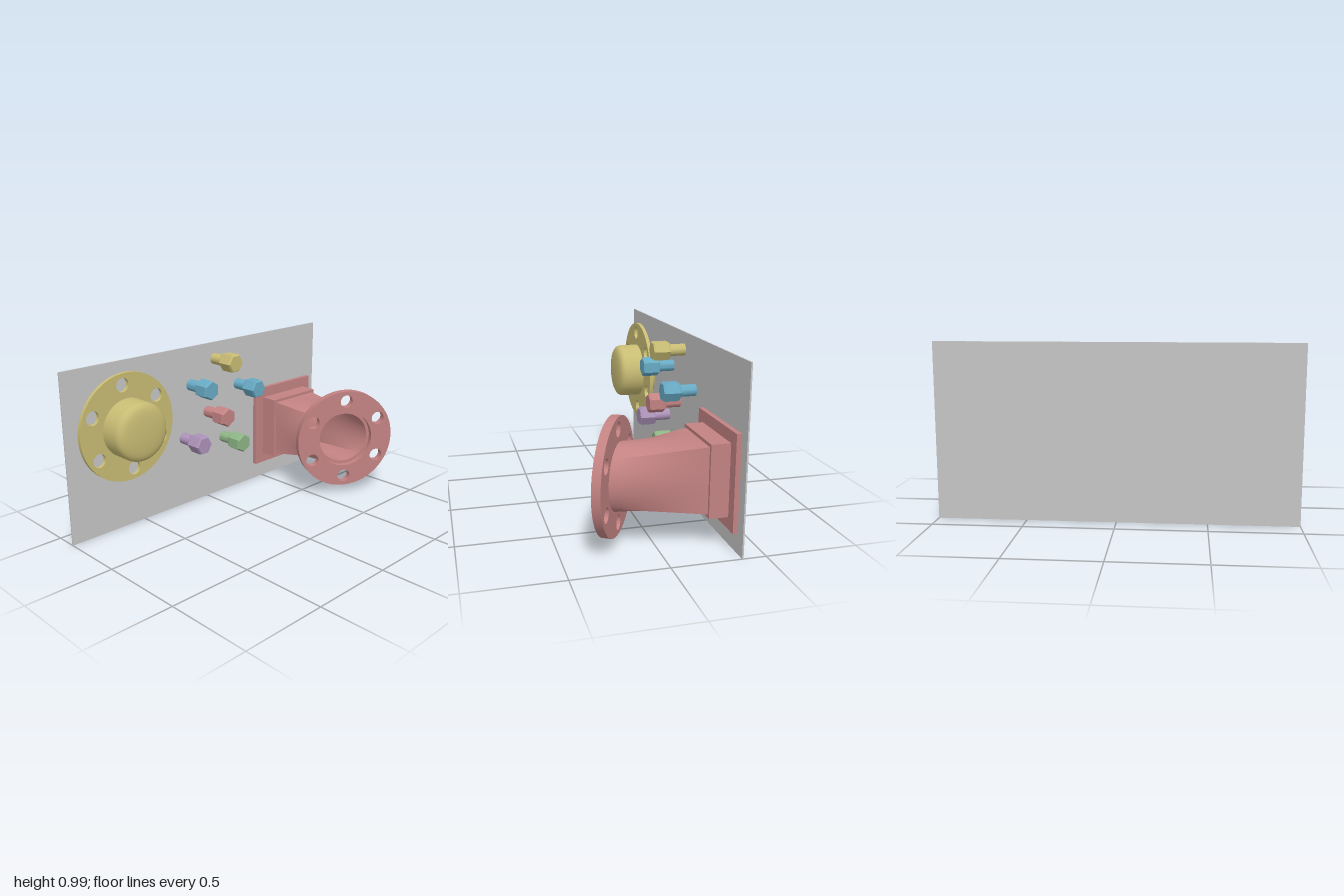
import * as THREE from 'three';
import { toCreasedNormals } from 'three/addons/utils/BufferGeometryUtils.js';

const paint = (name, color) => {
  const m = new THREE.MeshStandardMaterial({ color });
  m.name = name;
  return m;
};

export function createModel() {
  const model = new THREE.Group();
  model.name = 'boltedPanel';
  const grey = paint('grey', 0xc6c6c6);
  const yellow = paint('yellow', 0xc8bc74);
  const red = paint('red', 0xc38282);
  const blue = paint('blue', 0x68aac4);
  const green = paint('green', 0x8cb484);
  const purple = paint('purple', 0xac92b8);
  const PANEL_Z = -0.37;

  const add = (parent, name, geometry, material, x = 0, y = 0, z = 0) => {
    const mesh = new THREE.Mesh(geometry, material);
    mesh.name = name;
    mesh.position.set(x, y, z);
    parent.add(mesh);
    return mesh;
  };

  // Solid of revolution about z from [radius, z] pairs
  const turned = (profile, segments) => toCreasedNormals(
    new THREE.LatheGeometry(profile.map(p => new THREE.Vector2(...p)), segments).rotateX(Math.PI / 2), 0.5);

  // Disc with a ring of six bolt holes and an optional bore
  const flange = (radius, bore, depth, startAngle) => {
    const shape = new THREE.Shape().absarc(0, 0, radius, 0, Math.PI * 2);
    const hole = (x, y, r) => shape.holes.push(new THREE.Path().absarc(x, y, r, 0, Math.PI * 2, true));
    for (let i = 0; i < 6; i++) {
      const a = startAngle + i * Math.PI / 3;
      hole(0.248 * Math.cos(a), 0.248 * Math.sin(a), 0.04);
    }
    if (bore) hole(0, 0, bore);
    return toCreasedNormals(
      new THREE.ExtrudeGeometry(shape, { depth, bevelEnabled: false, curveSegments: 40 }), 0.5);
  };

  // Back panel
  add(model, 'panel', new THREE.BoxGeometry(2, 0.99, 0.008), grey, 0, 0.495, PANEL_Z - 0.004);

  // Domed cap with flange
  const cap = new THREE.Group();
  cap.name = 'domedCap';
  cap.position.set(-0.64, 0.628, 0);
  model.add(cap);
  add(cap, 'capFlange', flange(0.312, 0, 0.022, THREE.MathUtils.degToRad(36)), yellow, 0, 0, -0.313);
  add(cap, 'capBody', turned([
    [0.168, PANEL_Z], [0.168, -0.185], [0.166, -0.172], [0.161, -0.161], [0.152, -0.152],
    [0.138, -0.145], [0.12, -0.14], [0.09, -0.136], [0.05, -0.133], [0, -0.132],
  ], 64), yellow);

  // Hex bolts: [x, y, material, points sideways]
  const head = turned([[0, -0.275], [0.052, -0.275], [0.059, -0.265], [0.059, -0.186], [0.052, -0.175], [0, -0.175]], 6);
  const shaft = turned([[0.034, PANEL_Z], [0.034, -0.274]], 32);
  for (const [x, y, material, sideways] of [
    [0.077, 0.887, yellow, true], [-0.118, 0.757, blue, false], [0.272, 0.692, blue, true],
    [0.012, 0.563, red, false], [-0.183, 0.433, purple, true], [0.142, 0.368, green, false],
  ]) {
    const bolt = new THREE.Group();
    bolt.name = 'bolt';
    bolt.position.set(x, y, 0);
    bolt.rotation.z = sideways ? Math.PI / 6 : 0;
    model.add(bolt);
    add(bolt, 'boltHead', head, material);
    add(bolt, 'boltShaft', shaft, material);
  }

  // Angled nozzle on a square base
  const nozzle = new THREE.Group();
  nozzle.name = 'nozzle';
  nozzle.position.set(0.675, 0.368, 0);
  model.add(nozzle);
  add(nozzle, 'basePlate', new THREE.BoxGeometry(0.52, 0.52, 0.027), red, 0, 0, -0.3565);
  add(nozzle, 'collar', new THREE.BoxGeometry(0.39, 0.39, 0.103), red, 0, 0, -0.2915);
  const tilt = -Math.PI / 6;
  const mouth = new THREE.Vector3(0, 0, 0.177);
  add(nozzle, 'nozzleFlange', flange(0.312, 0.177, 0.047, Math.PI / 2), red, 0, 0, mouth.z).rotation.y = tilt;

  // Hollow square-to-round neck: outer skin, end lip, then inner skin
  const SIDES = 64, STEPS = 8;
  const yAxis = new THREE.Vector3(0, 1, 0);
  const neckPoint = (a, half, radius, t) => {
    const c = Math.cos(a), s = Math.sin(a);
    const k = half / Math.max(Math.abs(c), Math.abs(s));
    const square = new THREE.Vector3(c * k, s * k, -0.241);
    const round = new THREE.Vector3(c * radius, s * radius, 0.012).applyAxisAngle(yAxis, tilt).add(mouth);
    return square.lerp(round, t);
  };
  const rings = [];
  for (let i = 0; i <= STEPS; i++) rings.push([0.177, 0.179, i / STEPS]);
  for (let i = STEPS; i >= 0; i--) rings.push([0.158, 0.158, i / STEPS]);
  const positions = [], index = [];
  rings.forEach(([half, radius, t], i) => {
    for (let j = 0; j < SIDES; j++) {
      positions.push(...neckPoint(j / SIDES * Math.PI * 2, half, radius, t).toArray());
      if (i === rings.length - 1) continue;
      const a = i * SIDES + j, b = i * SIDES + (j + 1) % SIDES;
      index.push(a, b, b + SIDES, a, b + SIDES, a + SIDES);
    }
  });
  const neck = new THREE.BufferGeometry();
  neck.setAttribute('position', new THREE.Float32BufferAttribute(positions, 3));
  neck.setIndex(index);
  add(nozzle, 'neck', toCreasedNormals(neck, 0.5), red);

  return model;
}
